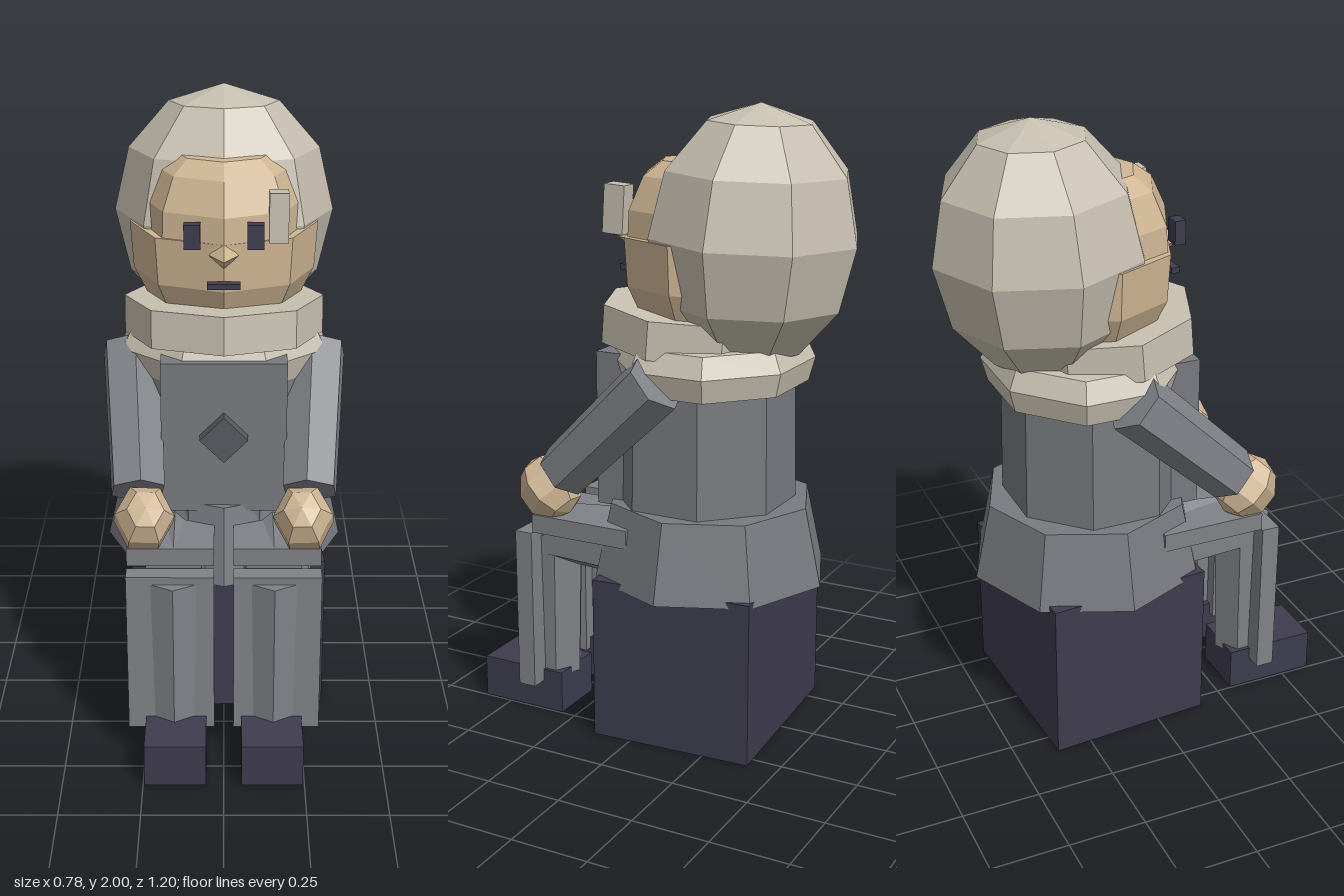
import * as THREE from 'three';

const mat = (name, color) => {
  const m = new THREE.MeshStandardMaterial({ color, flatShading: true });
  m.name = name;
  return m;
};

export function createModel() {
  const model = new THREE.Group();
  const hair = mat('hair', 0xc6bfb0);
  const wool = mat('collar wool', 0xc9c2b2);
  const skin = mat('skin', 0xcfb694);
  const suit = mat('suit grey', 0x777a7f);
  const cloth = mat('trouser grey', 0x7f8287);
  const dark = mat('dark navy', 0x3e3c4e);
  const badge = mat('badge grey', 0x565b60);

  const add = (name, geo, material, x = 0, y = 0, z = 0) => {
    const m = new THREE.Mesh(geo, material);
    m.name = name;
    m.position.set(x, y, z);
    model.add(m);
    return m;
  };
  // Box given by its minimum and maximum corners
  const box = (name, material, x0, x1, y0, y1, z0, z1) =>
    add(name, new THREE.BoxGeometry(x1 - x0, y1 - y0, z1 - z0), material,
      (x0 + x1) / 2, (y0 + y1) / 2, (z0 + z1) / 2);
  // Eight-sided solid of revolution from [radius, height] pairs
  const turned = (name, material, profile, z, sx = 1, sz = 1, turn = 0) => {
    const geo = new THREE.LatheGeometry(profile.map(p => new THREE.Vector2(...p)), 8);
    geo.rotateY(turn).scale(sx, 1, sz);
    return add(name, geo, material, 0, 0, z);
  };
  // Tapered six-sided limb between two points
  const limb = (name, material, a, b, ra, rb) => {
    const from = new THREE.Vector3(...a), to = new THREE.Vector3(...b);
    const dir = to.clone().sub(from);
    const m = add(name, new THREE.CylinderGeometry(rb, ra, dir.length(), 6), material);
    m.position.copy(from).add(to).multiplyScalar(0.5);
    m.quaternion.setFromUnitVectors(new THREE.Vector3(0, 1, 0), dir.normalize());
    return m;
  };

  // Seat block, turned slightly
  const seat = add('seat', new THREE.BoxGeometry(0.625, 0.53, 0.53), dark, 0, 0.265, -0.12);
  seat.rotation.y = 0.06;

  // Torso, front panel, coat skirt
  const flat = Math.PI / 8;
  turned('torso', suit, [[0, 0.7], [0.295, 0.7], [0.285, 1.2], [0, 1.2]], -0.1, 1, 1, flat);
  box('frontPanel', suit, -0.195, 0.195, 0.74, 1.235, 0.07, 0.18);
  turned('skirt', suit, [[0, 0.51], [0.385, 0.51], [0.33, 0.76], [0, 0.76]], -0.125, 1.01);
  const diamond = add('badge', new THREE.BoxGeometry(0.106, 0.106, 0.05), badge, 0, 1, 0.2);
  diamond.rotation.z = Math.PI / 4;

  // Two collar rings
  turned('lowerCollar', wool,
    [[0, 1.14], [0.295, 1.14], [0.315, 1.215], [0.285, 1.28], [0, 1.28]], -0.13, 1.1, 1, flat);
  const collar = add('upperCollar', new THREE.CylinderGeometry(0.29, 0.29, 0.12, 8), wool, 0, 1.315, -0.065);
  collar.scale.x = 1.08;
  collar.rotation.x = -0.08;

  // Head
  const cap = add('hair', new THREE.SphereGeometry(1, 8, 6), hair, 0, 1.6, -0.268);
  cap.scale.set(0.35, 0.4, 0.332);
  cap.rotation.x = -0.04;
  turned('jaw', skin,
    [[0, 1.36], [0.24, 1.36], [0.285, 1.45], [0.295, 1.6], [0, 1.6]], -0.125, 1, 0.93);
  turned('forehead', skin,
    [[0.27, 1.58], [0.265, 1.68], [0.22, 1.78], [0.16, 1.825], [0, 1.83]], -0.125, 0.98, 1.02);
  const nose = add('nose', new THREE.ConeGeometry(0.045, 0.075, 4), skin, 0, 1.565, 0.172);
  nose.rotation.x = Math.PI / 2;
  box('mouth', dark, -0.05, 0.05, 1.47, 1.488, 0.15, 0.176);
  const tuft = box('tuft', hair, 0.135, 0.193, 1.605, 1.755, 0.08, 0.15);
  tuft.rotation.x = -0.06;

  for (const s of [-1, 1]) {
    const side = s > 0 ? 'left' : 'right';
    const pair = (name, material, x0, x1, ...rest) =>
      box(side + name, material, Math.min(s * x0, s * x1), Math.max(s * x0, s * x1), ...rest);
    pair('Eye', dark, 0.07, 0.12, 1.59, 1.665, 0.125, 0.16);

    // Arm and hand
    limb(side + 'Arm', cloth, [s * 0.295, 1.19, -0.09], [s * 0.265, 0.85, 0.265], 0.1, 0.09);
    const hand = add(side + 'Hand', new THREE.SphereGeometry(0.107, 6, 5), skin, s * 0.245, 0.785, 0.327);
    hand.rotation.set(0.8, 0, s * 0.1);
    hand.scale.set(0.9, 1, 1);

    // Thigh, shin and shoe
    pair('ThighPanel', cloth, 0.03, 0.3, 0.64, 0.7, 0.02, 0.365);
    limb(side + 'Thigh', cloth, [s * 0.155, 0.61, 0], [s * 0.155, 0.6, 0.36], 0.125, 0.1);
    pair('ShinPanel', cloth, 0.03, 0.3, 0.1, 0.635, 0.37, 0.43);
    limb(side + 'Shin', cloth, [s * 0.155, 0.12, 0.375], [s * 0.155, 0.61, 0.37], 0.09, 0.1);
    pair('Shoe', dark, 0.055, 0.245, 0, 0.14, 0.3, 0.6);
  }
  return model;
}
